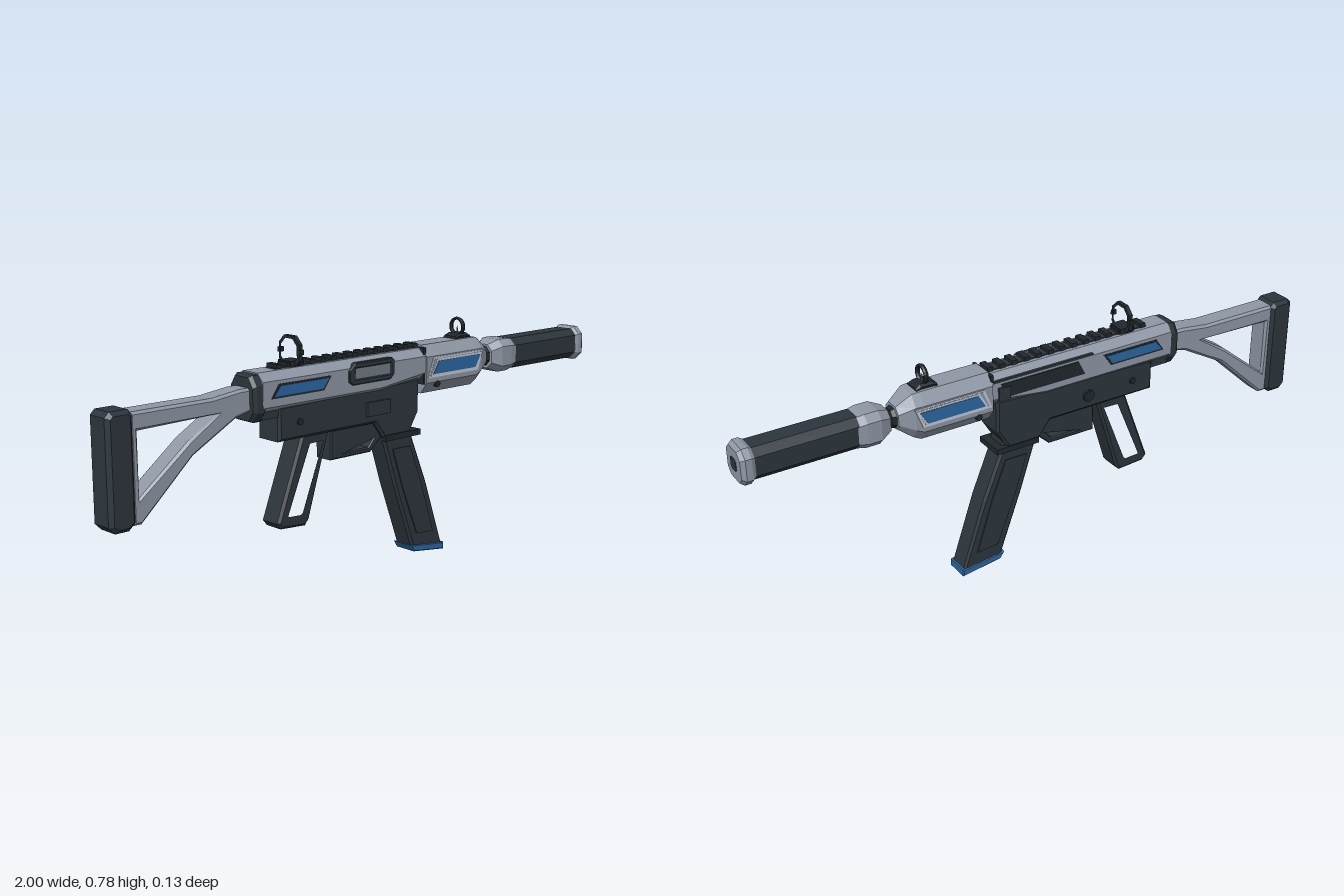
import * as THREE from 'three';

const mat = (name, color, side = THREE.FrontSide) => {
  const m = new THREE.MeshStandardMaterial({ color, flatShading: true, side });
  m.name = name;
  return m;
};

export function createModel() {
  const grey = mat('grey polymer', 0x9098a6), dark = mat('dark polymer', 0x2d363d);
  const black = mat('black metal', 0x22282d), blue = mat('blue accent', 0x2a68a3);
  const pale = mat('pale trim', 0xc3cad6), steel = mat('steel', 0x747c87);
  const root = new THREE.Group();
  root.name = 'carbine';

  const add = (name, geo, m, x = 0, y = 0, z = 0) => {
    const mesh = new THREE.Mesh(geo, m);
    mesh.name = name;
    mesh.position.set(x, y, z);
    root.add(mesh);
    return mesh;
  };
  const box = (name, m, x0, x1, y0, y1, z0, z1) => add(name,
    new THREE.BoxGeometry(x1 - x0, y1 - y0, z1 - z0), m, (x0 + x1) / 2, (y0 + y1) / 2, (z0 + z1) / 2);

  // Chamfered prism along x; section = [x, bottom, top, halfZ, chamferY, chamferZ]
  const prism = (name, m, sections) => {
    const rings = sections.map(([x, b, t, h, cy, cz]) => [
      [h - cz, b], [-h + cz, b], [-h, b + cy], [-h, t - cy],
      [-h + cz, t], [h - cz, t], [h, t - cy], [h, b + cy]].map(([z, y]) => [x, y, z]));
    const pos = [];
    const tri = (...p) => p.forEach(v => pos.push(...v));
    for (let s = 0; s + 1 < rings.length; s++) {
      for (let i = 0; i < 8; i++) {
        const j = (i + 1) % 8, a = rings[s], b = rings[s + 1];
        tri(a[i], a[j], b[j]);
        tri(a[i], b[j], b[i]);
      }
    }
    const first = rings[0], last = rings[rings.length - 1];
    for (let i = 1; i < 7; i++) {
      tri(last[0], last[i], last[i + 1]);
      tri(first[0], first[i + 1], first[i]);
    }
    const g = new THREE.BufferGeometry();
    g.setAttribute('position', new THREE.Float32BufferAttribute(pos, 3));
    g.computeVertexNormals();
    return add(name, g, m);
  };

  // Side profile extruded from z0 to z1, with chamfered rims
  const profile = (name, m, pts, z0, z1, bevel = 0, hole = null) => {
    const s = new THREE.Shape(pts.map(p => new THREE.Vector2(...p)));
    if (hole) s.holes.push(new THREE.Path(hole.map(p => new THREE.Vector2(...p))));
    const g = new THREE.ExtrudeGeometry(s, {
      depth: z1 - z0 - 2 * bevel, bevelEnabled: bevel > 0, bevelThickness: bevel,
      bevelSize: bevel, bevelOffset: -bevel, bevelSegments: 1, curveSegments: 8 });
    g.translate(0, 0, z0 + bevel);
    return add(name, g, m);
  };

  // Stock
  profile('buttPad', dark, [[-1, 0.33], [-0.98, 0.31], [-0.935, 0.31], [-0.912, 0.33],
    [-0.912, 0.635], [-0.925, 0.65], [-0.985, 0.65], [-1, 0.635]], -0.046, 0.046, 0.012);
  profile('stockFrame', grey, [[-0.92, 0.32], [-0.89, 0.32], [-0.71, 0.485], [-0.555, 0.57],
    [-0.5, 0.582], [-0.5, 0.652], [-0.54, 0.652], [-0.64, 0.64], [-0.92, 0.64]], -0.037, 0.037, 0.008,
    [[-0.895, 0.395], [-0.895, 0.585], [-0.62, 0.592], [-0.725, 0.53]]);

  // Upper receiver
  prism('receiverEndPlate', dark, [[-0.507, 0.553, 0.682, 0.05, 0.03, 0.02],
    [-0.495, 0.548, 0.688, 0.056, 0.03, 0.02], [-0.468, 0.548, 0.688, 0.056, 0.03, 0.02]]);
  prism('upperReceiver', grey, [[-0.475, 0.565, 0.692, 0.058, 0.025, 0.025],
    [0.0, 0.565, 0.692, 0.058, 0.025, 0.025], [0.2, 0.59, 0.692, 0.058, 0.025, 0.025]]);
  box('rearBlock', dark, -0.47, -0.405, 0.553, 0.58, -0.045, 0.045);
  box('railBase', dark, -0.4, 0.19, 0.685, 0.696, -0.02, 0.02);
  for (let i = 0; i < 14; i++) {
    const x = -0.395 + i * 0.0435;
    box('railTooth', black, x, x + 0.02, 0.69, 0.706, -0.023, 0.023);
  }

  // Lower receiver and magazine well
  profile('lowerReceiver', dark, [[-0.41, 0.585], [0.175, 0.6], [0.175, 0.49], [0.135, 0.425],
    [0.02, 0.425], [-0.02, 0.478], [-0.41, 0.478]], -0.05, 0.05, 0.008);
  box('wellFlange', black, 0.025, 0.178, 0.413, 0.432, -0.052, 0.052);

  // Trigger guard and trigger
  profile('triggerGuard', dark, [[-0.193, 0.49], [-0.193, 0.385], [-0.025, 0.385], [0.03, 0.435], [0.03, 0.49]],
    -0.035, 0.035, 0.004, [[-0.178, 0.485], [-0.178, 0.402], [-0.035, 0.402], [0.003, 0.445], [0.003, 0.485]]);
  profile('trigger', steel, [[-0.15, 0.49], [-0.12, 0.49], [-0.124, 0.45], [-0.142, 0.425],
    [-0.15, 0.43], [-0.138, 0.455]], -0.01, 0.01);

  // Open-frame grip
  profile('grip', dark, [[-0.31, 0.49], [-0.2, 0.49], [-0.285, 0.218], [-0.3, 0.2], [-0.395, 0.206], [-0.41, 0.225]],
    -0.041, 0.041, 0.008, [[-0.288, 0.462], [-0.22, 0.462], [-0.307, 0.24], [-0.318, 0.23], [-0.375, 0.233], [-0.38, 0.245]]);

  // Magazine with raised side panels and coloured base
  profile('magazine', dark, [[0.02, 0.45], [0.025, 0.42], [0.08, 0.25], [0.16, 0.03], [0.3, 0.018],
    [0.222, 0.25], [0.152, 0.42], [0.15, 0.45]], -0.039, 0.039, 0.008);
  for (const s of [-1, 1]) {
    profile('magazinePanel', dark, [[0.065, 0.38], [0.108, 0.25], [0.175, 0.08], [0.25, 0.074],
      [0.193, 0.25], [0.142, 0.38]], s * 0.04 - 0.003, s * 0.04 + 0.003);
  }
  profile('magazineBase', blue, [[0.15, 0.042], [0.304, 0.024], [0.304, 0], [0.165, 0.019]], -0.042, 0.042, 0.003);

  // Handguard
  prism('handguard', grey, [[0.195, 0.543, 0.7, 0.062, 0.036, 0.027], [0.43, 0.543, 0.7, 0.062, 0.036, 0.027],
    [0.455, 0.556, 0.698, 0.06, 0.034, 0.026], [0.503, 0.592, 0.665, 0.04, 0.02, 0.018]]);
  box('handguardSeam', black, 0.188, 0.198, 0.575, 0.694, -0.054, 0.054);

  // Neck, suppressor and muzzle
  prism('neck', black, [[0.495, 0.588, 0.66, 0.034, 0.02, 0.018], [0.515, 0.596, 0.652, 0.028, 0.015, 0.015],
    [0.54, 0.588, 0.66, 0.034, 0.02, 0.018]]);
  prism('suppressorCollar', grey, [[0.528, 0.583, 0.663, 0.04, 0.02, 0.02],
    [0.565, 0.568, 0.678, 0.056, 0.022, 0.022], [0.61, 0.568, 0.678, 0.056, 0.022, 0.022],
    [0.638, 0.573, 0.673, 0.051, 0.022, 0.022]]);
  prism('suppressorTube', dark, [[0.63, 0.572, 0.675, 0.051, 0.022, 0.022], [0.965, 0.572, 0.675, 0.051, 0.022, 0.022]]);
  prism('muzzleCap', grey, [[0.955, 0.571, 0.675, 0.052, 0.022, 0.022], [0.966, 0.565, 0.681, 0.058, 0.024, 0.024],
    [0.985, 0.565, 0.681, 0.058, 0.024, 0.024], [0.998, 0.574, 0.672, 0.049, 0.02, 0.02]]);
  prism('bore', dark, [[0.99, 0.604, 0.642, 0.019, 0.007, 0.007], [1, 0.604, 0.642, 0.019, 0.007, 0.007]]);

  // Painted side panels, both sides
  const slanted = (x0, x1, y0, y1, k) => [[x0, y0], [x1 - k, y0], [x1, y1], [x0 + k, y1]];
  for (const s of [-1, 1]) {
    const plate = (name, m, pts, z) => profile(name, m, pts, s * z - 0.003, s * z + 0.003);
    plate('receiverPanelTrim', black, slanted(-0.445, -0.21, 0.614, 0.656, 0.03), 0.0565);
    plate('receiverPanel', blue, slanted(-0.435, -0.22, 0.62, 0.65, 0.025), 0.058);
    plate('handguardTrim', pale, slanted(0.2, 0.46, 0.595, 0.66, 0.025), 0.0605);
    plate('handguardTrimInset', grey, slanted(0.208, 0.45, 0.6, 0.655, 0.024), 0.061);
    plate('handguardPanelTrim', pale, slanted(0.213, 0.455, 0.6, 0.653, 0.03), 0.0615);
    plate('handguardPanel', blue, slanted(0.223, 0.445, 0.606, 0.647, 0.025), 0.063);
    // Pins
    for (const [x, y, z] of [[0.245, 0.572, 0.058], [-0.33, 0.53, 0.05]]) {
      add('pin', new THREE.CylinderGeometry(0.011, 0.011, 0.012, 8), black, x, y, s * z).rotation.x = Math.PI / 2;
    }
  }

  // Ejection port on one side, charging slot on the other
  profile('ejectionPortFrame', dark, [[-0.14, 0.625], [-0.125, 0.614], [0.035, 0.614], [0.052, 0.63],
    [0.052, 0.672], [0.04, 0.682], [-0.115, 0.682], [-0.14, 0.66]], 0.045, 0.064, 0.003,
    [[-0.115, 0.631], [0.035, 0.631], [0.035, 0.665], [-0.115, 0.665]]);
  box('bolt', steel, -0.118, 0.037, 0.629, 0.667, 0.05, 0.0595);
  profile('chargingSlot', black, slanted(-0.14, 0.165, 0.612, 0.66, 0.025), -0.061, -0.054);
  box('slotUpperEdge', dark, -0.17, 0.19, 0.667, 0.674, -0.059, -0.05);
  box('chargingHandle', dark, 0.135, 0.175, 0.605, 0.65, -0.066, -0.05);
  add('selector', new THREE.CylinderGeometry(0.02, 0.02, 0.012, 10), black, -0.16, 0.525, -0.052).rotation.x = Math.PI / 2;
  box('boltRelease', dark, -0.06, 0.04, 0.505, 0.55, 0.045, 0.058);

  // Rear sight: tall octagonal hoop
  const octagon = (h, y0, y1, c) => [[-h, y0 + c], [-h, y1 - c], [-h + c, y1], [h - c, y1], [h, y1 - c], [h, y0 + c], [h - c, y0], [-h + c, y0]];
  const hoop = profile('rearSightHoop', black, octagon(0.046, 0.685, 0.783, 0.024), -0.007, 0.007, 0,
    octagon(0.036, 0.698, 0.774, 0.02));
  hoop.rotation.y = Math.PI / 2;
  hoop.position.x = -0.32;
  box('rearSightBase', black, -0.345, -0.295, 0.69, 0.71, -0.028, 0.028);
  for (const s of [-1, 1]) box('rearSightScrew', black, -0.328, -0.312, 0.729, 0.744, s * 0.046 - 0.005, s * 0.046 + 0.005);

  // Front sight: ring and post on a block
  prism('frontSightBase', black, [[0.365, 0.695, 0.708, 0.028, 0.004, 0.004], [0.38, 0.695, 0.716, 0.028, 0.008, 0.008],
    [0.42, 0.695, 0.716, 0.028, 0.008, 0.008], [0.435, 0.695, 0.706, 0.028, 0.004, 0.004]]);
  const ring = add('frontSightRing', new THREE.TorusGeometry(0.027, 0.005, 6, 20), black, 0.4, 0.736, 0);
  ring.rotation.y = Math.PI / 2;
  ring.scale.z = 1.6;
  add('frontSightPost', new THREE.CylinderGeometry(0.001, 0.004, 0.03, 6), steel, 0.4, 0.724, 0);

  root.position.z = 0.002;
  return root;
}
